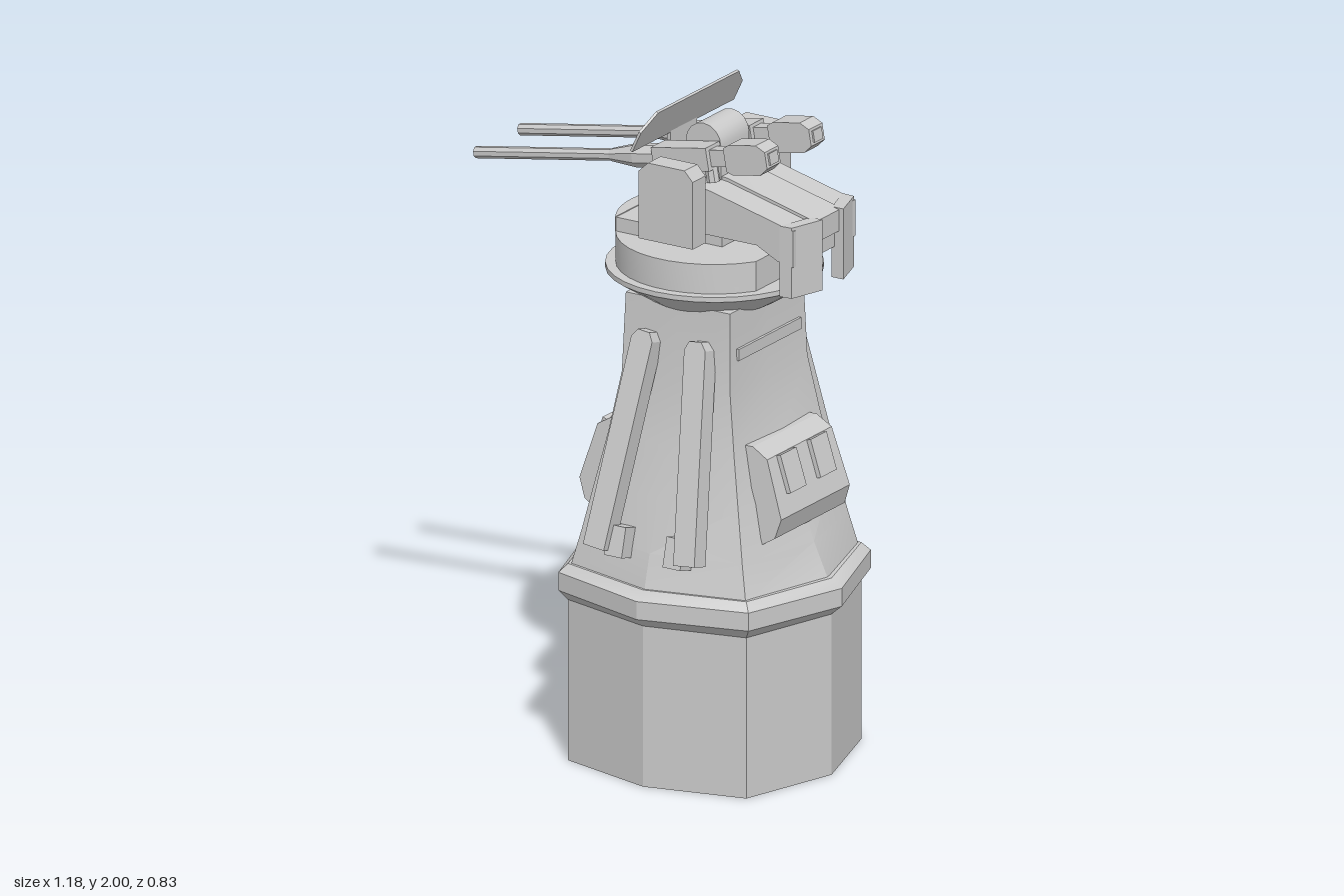
import * as THREE from 'three';
import { toCreasedNormals } from 'three/addons/utils/BufferGeometryUtils.js';

const CX = 0.15; // axis of the tower
const mat = new THREE.MeshStandardMaterial({ color: 0xcccccc, side: THREE.DoubleSide });

function add(parent, name, geo, x = 0, y = 0, z = 0) {
  const m = new THREE.Mesh(toCreasedNormals(geo, 0.45), mat);
  m.name = name;
  m.position.set(x, y, z);
  parent.add(m);
  return m;
}
const box = (w, h, d) => new THREE.BoxGeometry(w, h, d);

// side profile in x,y extruded along z, centred on z = 0
function slab(points, depth) {
  const shape = new THREE.Shape(points.map(p => new THREE.Vector2(p[0], p[1])));
  return new THREE.ExtrudeGeometry(shape, { depth, bevelEnabled: false }).translate(0, 0, -depth / 2);
}

// floor plan in x,z extruded upwards from y0 to y1
function plan(points, y0, y1) {
  const shape = new THREE.Shape(points.map(p => new THREE.Vector2(p[0], -p[1])));
  return new THREE.ExtrudeGeometry(shape, { depth: y1 - y0, bevelEnabled: false }).rotateX(-Math.PI / 2).translate(0, y0, 0);
}

// eight-sided loft; each row: height, x radius, z radius, corner x, corner z
function loft(rows) {
  const pos = [], index = [];
  for (const [y, ax, az, cx, cz] of rows) {
    for (const [x, z] of [[ax, 0], [cx, cz], [0, az], [-cx, cz], [-ax, 0], [-cx, -cz], [0, -az], [cx, -cz]]) pos.push(x, y, z);
  }
  for (let r = 0; r < rows.length - 1; r++) {
    for (let j = 0; j < 8; j++) {
      const a = r * 8 + j, b = r * 8 + (j + 1) % 8;
      index.push(a, a + 8, b, b, a + 8, b + 8);
    }
  }
  const top = (rows.length - 1) * 8;
  for (let j = 1; j < 7; j++) index.push(0, j, j + 1, top, top + j + 1, top + j);
  const g = new THREE.BufferGeometry();
  g.setAttribute('position', new THREE.Float32BufferAttribute(pos, 3));
  g.setIndex(index);
  return g;
}

function buildTower() {
  const g = new THREE.Group();
  g.name = 'tower';
  g.position.x = CX;
  add(g, 'base', loft([
    [0, 0.40, 0.38, 0.305, 0.305],
    [0.49, 0.40, 0.38, 0.305, 0.305],
    [0.52, 0.435, 0.415, 0.325, 0.325],
    [0.575, 0.435, 0.415, 0.325, 0.325],
    [0.6, 0.40, 0.38, 0.305, 0.305]
  ]));
  add(g, 'taperedBody', loft([
    [0.59, 0.39, 0.375, 0.30, 0.30],
    [0.7, 0.34, 0.345, 0.275, 0.28],
    [0.85, 0.285, 0.30, 0.245, 0.255],
    [1.0, 0.23, 0.255, 0.215, 0.23],
    [1.18, 0.185, 0.21, 0.185, 0.205],
    [1.42, 0.178, 0.195, 0.178, 0.195]
  ]));
  for (const s of [1, -1]) {
    // window bay with two raised panes, and a slot above it
    const bay = new THREE.Group();
    bay.name = 'windowBay';
    bay.rotation.y = s > 0 ? 0 : Math.PI;
    g.add(bay);
    const geo = slab([[0.15, 1.02], [0.24, 1.02], [0.29, 0.99], [0.345, 0.82], [0.325, 0.76], [0.26, 0.72], [0.15, 0.72]], 0.36);
    const p = geo.attributes.position;
    for (let i = 0; i < p.count; i++) p.setZ(i, p.getZ(i) * (1 + (0.85 - p.getY(i)) * 0.35));
    add(bay, 'bayBody', geo);
    for (const t of [1, -1]) add(bay, 'windowPane', box(0.02, 0.115, 0.085), 0.312, 0.935, t * 0.08).rotation.z = 0.31;
    add(bay, 'slot', box(0.03, 0.035, 0.33), 0.175, 1.288, 0);
    // leaning buttresses with feet
    for (const t of [1, -1]) {
      const a = new THREE.Vector3(t * 0.155, 0.70, s * 0.375);
      const b = new THREE.Vector3(t * 0.09, 1.31, s * 0.215);
      const d = b.clone().sub(a), len = d.length();
      const strut = slab([[-0.036, 0], [0.036, 0], [0.036, len - 0.01], [0.02, len + 0.015], [-0.02, len + 0.015], [-0.036, len - 0.01]], 0.06);
      const m = add(g, 'buttress', strut, a.x, a.y, a.z);
      m.quaternion.setFromUnitVectors(new THREE.Vector3(0, 1, 0), d.normalize());
      add(g, 'buttressFoot', box(0.06, 0.09, 0.06), t * 0.1, 0.72, s * 0.345).rotation.x = -s * 0.26;
    }
  }
  // flared collar
  add(g, 'collar', new THREE.LatheGeometry([[0, 1.395], [0.19, 1.395], [0.315, 1.475], [0.315, 1.49], [0, 1.49]]
    .map(p => new THREE.Vector2(...p)), 32));
  return g;
}

function buildGun(z) {
  const g = new THREE.Group();
  g.name = 'gun';
  g.position.set(CX, 1.845, z);
  g.rotation.z = 0.174;
  const tube = (name, u0, u1, r0, r1) =>
    add(g, name, new THREE.CylinderGeometry(r1, r0, u1 - u0, 8).rotateZ(-Math.PI / 2).rotateX(Math.PI / 8), (u0 + u1) / 2);
  tube('barrel', -0.75, -0.26, 0.018, 0.018);
  tube('barrelCone', -0.28, -0.19, 0.019, 0.036);
  tube('barrelJacket', -0.19, -0.1, 0.036, 0.036);
  add(g, 'receiver', box(0.19, 0.07, 0.075), -0.02);
  add(g, 'breechNeck', box(0.1, 0.05, 0.042), 0.1);
  add(g, 'breech', slab([[0.135, -0.035], [0.155, -0.045], [0.25, -0.045], [0.278, -0.025], [0.278, 0.025], [0.25, 0.045], [0.155, 0.045], [0.135, 0.035]], 0.072));
  add(g, 'breechPlate', box(0.008, 0.035, 0.045), 0.279);
  add(g, 'mountPin', new THREE.CylinderGeometry(0.02, 0.02, 0.06, 8), 0.06, -0.045);
  return g;
}

function buildTurret() {
  const g = new THREE.Group();
  g.name = 'turret';
  // round platform, cut straight at the rear
  const rim = (r, cut, from) => {
    const pts = [];
    const a = Math.acos((cut - CX) / r);
    for (let i = 0; i <= 28; i++) {
      const t = a + (2 * Math.PI - 2 * a) * i / 28;
      pts.push([CX + r * Math.cos(t), r * Math.sin(t) * from]);
    }
    return pts;
  };
  add(g, 'platform', plan(rim(0.285, 0.39, 1), 1.485, 1.58));
  add(g, 'frontStep', plan(rim(0.285, -0.09, 1), 1.57, 1.625));
  add(g, 'floorBlock', box(0.165, 0.045, 0.3), -0.012, 1.6, 0);

  // central cradle with a rounded crown
  add(g, 'pedestal', box(0.16, 0.2, 0.2), 0.16, 1.67, 0);
  const crown = [[0.1, 1.7], [0.22, 1.7]];
  for (let i = 0; i <= 8; i++) crown.push([0.16 + 0.06 * Math.cos(Math.PI * i / 8), 1.875 + 0.06 * Math.sin(Math.PI * i / 8)]);
  add(g, 'crown', slab(crown, 0.15));

  // rear arm and its split counterweight
  add(g, 'rearArm', slab([[0.2, 1.775], [0.24, 1.77], [0.525, 1.70], [0.525, 1.59], [0.47, 1.60], [0.4, 1.635], [0.2, 1.635]], 0.33));
  add(g, 'armSpine', slab([[0.2, 1.785], [0.24, 1.78], [0.54, 1.705], [0.54, 1.64], [0.2, 1.64]], 0.14));
  for (const s of [1, -1]) {
    add(g, 'counterweight', plan([[0.48, s * 0.168], [0.52, s * 0.165], [0.555, s * 0.055], [0.515, s * 0.055]], 1.495, 1.71));
    // side housings on short stubs
    add(g, 'sideHousing', slab([[0.058, 1.62], [0.243, 1.62], [0.243, 1.825], [0.215, 1.855], [0.09, 1.855], [0.058, 1.825]], 0.068), 0, 0, s * 0.227);
    add(g, 'sideStub', box(0.12, 0.06, 0.12), 0.15, 1.74, s * 0.145);
    g.add(buildGun(s * 0.117));
  }

  // slanted front shield with a sight strip and a stem
  const shield = new THREE.Group();
  shield.name = 'shield';
  shield.position.set(0.035, 1.885, 0);
  shield.rotation.z = -0.44;
  g.add(shield);
  const face = new THREE.Shape([[-0.27, 0], [0.27, 0], [0.27, 0.07], [0.215, 0.125], [-0.215, 0.125], [-0.27, 0.07]].map(p => new THREE.Vector2(...p)));
  add(shield, 'shieldPlate', new THREE.ExtrudeGeometry(face, { depth: 0.008, bevelEnabled: false }).rotateY(Math.PI / 2));
  add(shield, 'sightStrip', box(0.012, 0.05, 0.16), 0, 0.06, 0.15);
  add(g, 'shieldStem', slab([[0.02, 1.75], [0.035, 1.62], [0.045, 1.62], [0.04, 1.75], [0.045, 1.89], [0.035, 1.89]], 0.14));
  return g;
}

export function createModel() {
  const model = new THREE.Group();
  model.name = 'gunTower';
  model.add(buildTower(), buildTurret());
  return model;
}
